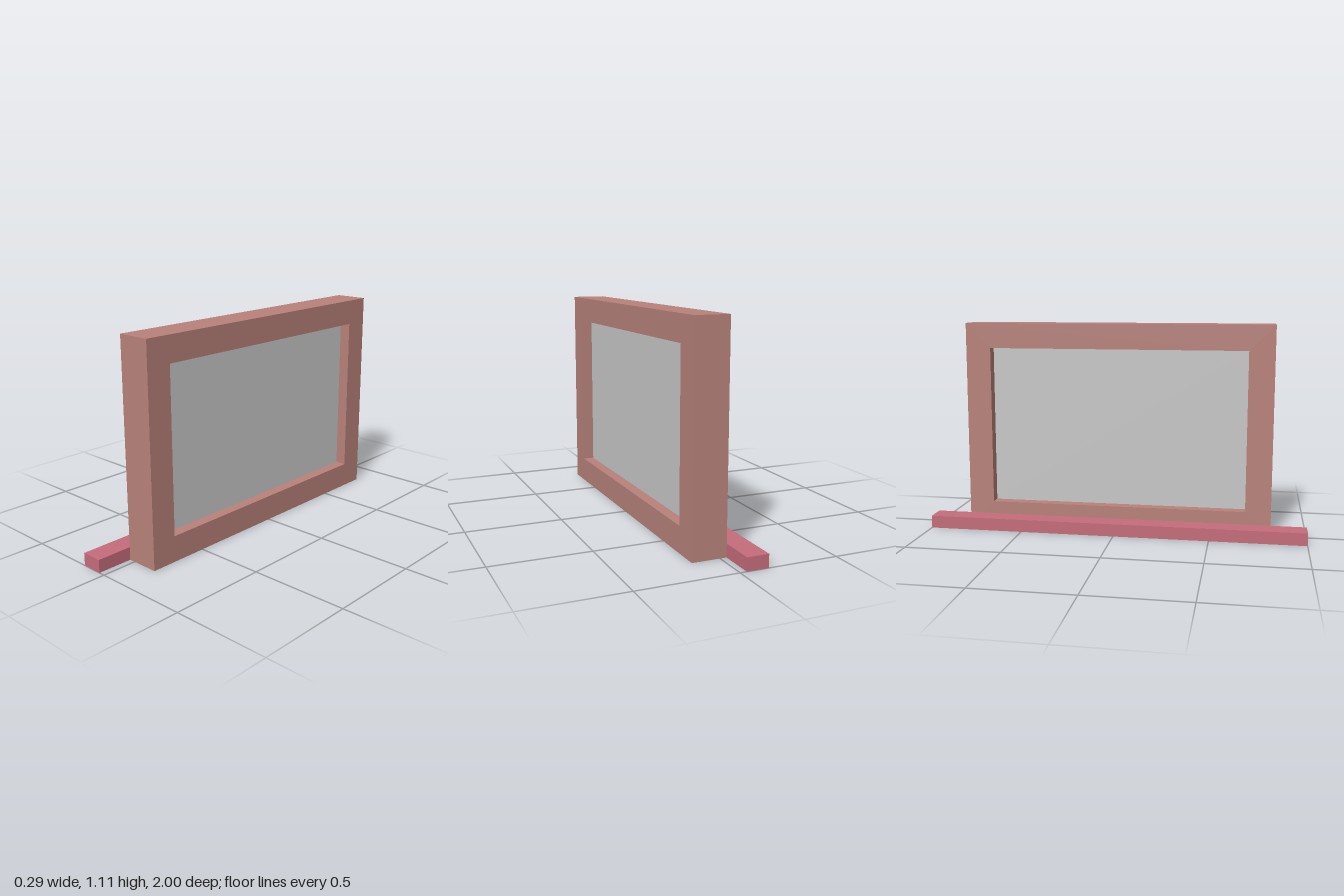
import * as THREE from 'three';

const material = (name, color) => {
  const m = new THREE.MeshStandardMaterial({ color });
  m.name = name;
  return m;
};

function rectangle(target, halfWidth, bottom, top) {
  target.moveTo(-halfWidth, bottom);
  target.lineTo(halfWidth, bottom);
  target.lineTo(halfWidth, top);
  target.lineTo(-halfWidth, top);
  target.closePath();
  return target;
}

export function createModel() {
  const group = new THREE.Group();
  group.name = 'window';

  const frameColor = material('frame brown', 0xb8827a);
  const sillColor = material('sill rose', 0xc56d7b);
  const paneColor = material('pane grey', 0xc8c8c8);

  const frameBack = -0.033, frameDepth = 0.176;
  const opening = { half: 0.682, bottom: 0.133, top: 0.973 };

  // Frame: one rectangle with an opening, extruded along x
  const outline = rectangle(new THREE.Shape(), 0.815, 0, 1.105);
  outline.holes.push(rectangle(new THREE.Path(), opening.half, opening.bottom, opening.top));
  const frameGeometry = new THREE.ExtrudeGeometry(outline, { depth: frameDepth, bevelEnabled: false });
  frameGeometry.rotateY(Math.PI / 2);
  const frame = new THREE.Mesh(frameGeometry, frameColor);
  frame.name = 'frame';
  frame.position.x = frameBack;
  group.add(frame);

  const addBox = (name, mat, size, position) => {
    const mesh = new THREE.Mesh(new THREE.BoxGeometry(...size), mat);
    mesh.name = name;
    mesh.position.set(...position);
    group.add(mesh);
  };

  // Pane: the middle third of the frame depth
  addBox('pane', paneColor,
    [frameDepth / 3, opening.top - opening.bottom, opening.half * 2],
    [frameBack + frameDepth / 2, (opening.top + opening.bottom) / 2, 0]);

  // Sill: long bar along the foot of the frame
  addBox('sill', sillColor, [0.111, 0.066, 2], [-0.0885, 0.033, 0]);

  return group;
}
